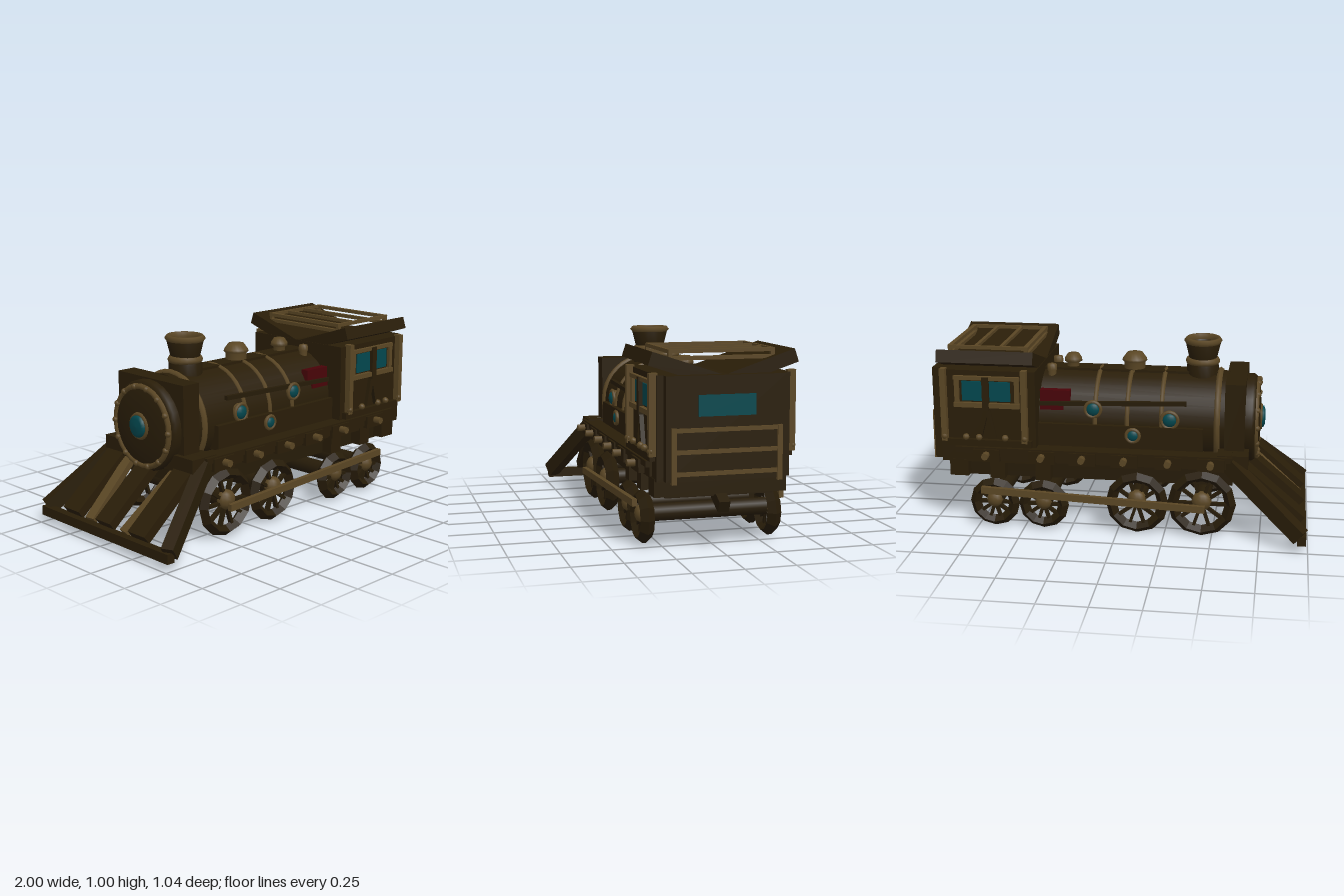
import * as THREE from 'three';

const mat = (name, color) => {
  const m = new THREE.MeshStandardMaterial({ color });
  m.name = name;
  return m;
};

export function createModel() {
  const root = new THREE.Group();
  root.name = 'steamLocomotive';
  const body = mat('dark bronze', 0x291d08), brass = mat('brass', 0x5a4624);
  const teal = mat('teal glass', 0x02474e), red = mat('red paint', 0x480308);
  const iron = mat('blackened iron', 0x261b08);
  for (const m of [body, iron]) m.side = THREE.DoubleSide;

  const add = (name, geo, m, x = 0, y = 0, z = 0, parent = root) => {
    const mesh = new THREE.Mesh(geo, m);
    mesh.name = name;
    mesh.position.set(x, y, z);
    parent.add(mesh);
    return mesh;
  };
  // box given by its extents
  const box = (name, m, x0, x1, y0, y1, z0, z1) =>
    add(name, new THREE.BoxGeometry(x1 - x0, y1 - y0, Math.abs(z1 - z0)), m, (x0 + x1) / 2, (y0 + y1) / 2, (z0 + z1) / 2);
  // square bar between two points
  const bar = (name, m, a, b, w, h) => {
    const p = new THREE.Vector3(...a), q = new THREE.Vector3(...b);
    const mesh = add(name, new THREE.BoxGeometry(w, h, p.distanceTo(q)), m);
    mesh.position.copy(p).add(q).multiplyScalar(0.5);
    mesh.lookAt(q);
    return mesh;
  };
  const lathe = (name, m, pts, x, y, z = 0, sides = 20) =>
    add(name, new THREE.LatheGeometry(pts.map(p => new THREE.Vector2(...p)), sides), m, x, y, z);

  // Boiler with bands and a flat strip along its top
  const BY = 0.57, BR = 0.245;
  add('boiler', new THREE.CylinderGeometry(BR, BR, 1.02, 28), body, -0.05, BY).rotation.z = Math.PI / 2;
  for (const [x, t] of [[-0.51, 0.018], [-0.22, 0.013], [-0.04, 0.013], [0.13, 0.013]])
    add('boilerBand', new THREE.TorusGeometry(BR, t, 6, 32), brass, x, BY).rotation.y = Math.PI / 2;
  box('boilerTopStrip', body, -0.5, 0.43, 0.79, 0.822, -0.055, 0.055);

  // Smokebox, round door, rivet ring and head lamp
  box('smokeboxShield', body, -0.655, -0.55, 0.43, 0.81, -0.25, 0.25);
  lathe('smokeboxDoor', body, [[0.235, 0], [0.235, 0.035], [0.225, 0.05], [0.18, 0.065], [0.1, 0.075], [0, 0.077]], -0.655, BY, 0, 28).rotation.z = Math.PI / 2;
  add('doorRing', new THREE.TorusGeometry(0.205, 0.016, 6, 28), brass, -0.71, BY).rotation.y = Math.PI / 2;
  for (let i = 0; i < 14; i++) {
    const a = i / 14 * Math.PI * 2;
    add('doorRivet', new THREE.SphereGeometry(0.017, 8, 6), brass, -0.717, BY + 0.205 * Math.sin(a), 0.205 * Math.cos(a));
  }
  add('lampRim', new THREE.TorusGeometry(0.06, 0.012, 6, 20), brass, -0.73, BY + 0.005).rotation.y = Math.PI / 2;
  lathe('headLamp', teal, [[0.058, 0], [0.057, 0.03], [0.04, 0.037], [0, 0.04]], -0.717, BY + 0.005).rotation.z = Math.PI / 2;

  // Chimney, open at the top
  lathe('chimney', body, [[0.085, 0.78], [0.085, 0.85], [0.072, 0.87], [0.075, 0.895], [0.093, 0.97], [0.075, 0.97], [0.06, 0.92], [0, 0.92]], -0.415, 0).scale.z = 1.08;
  lathe('chimneyCollar', brass, [[0.075, 0.855], [0.088, 0.862], [0.092, 0.875], [0.085, 0.89], [0.072, 0.895]], -0.415, 0);
  lathe('chimneyRim', brass, [[0.075, 0.965], [0.088, 0.965], [0.102, 0.984], [0.09, 1], [0.078, 1], [0.072, 0.98], [0.075, 0.965]], -0.415, 0).scale.z = 1.1;

  // Domes and whistles
  lathe('steamDome', brass, [[0.056, 0.79], [0.056, 0.855], [0.067, 0.865], [0.064, 0.875], [0.042, 0.906], [0, 0.91]], -0.05, 0);
  lathe('safetyValve', brass, [[0.034, 0.79], [0.032, 0.84], [0.048, 0.85], [0.046, 0.866], [0.03, 0.89], [0, 0.893]], 0.285, 0);
  for (const z of [-0.09, 0.09])
    lathe('whistle', brass, [[0.022, 0.74], [0.022, 0.81], [0.027, 0.82], [0.025, 0.848], [0, 0.855]], 0.385, 0, z, 12);

  // Chassis and beams
  box('chassis', iron, -0.6, 0.88, 0.27, 0.38, -0.27, 0.27);
  box('footplate', body, -0.62, 0.86, 0.375, 0.43, -0.34, 0.34);
  box('frontBeam', body, -0.68, -0.52, 0.37, 0.455, -0.34, 0.34);
  box('rearBeam', body, 0.8, 0.9, 0.28, 0.37, -0.33, 0.33);
  bar('rearCoupling', iron, [0.84, 0.28, 0], [0.95, 0.228, 0], 0.055, 0.06);

  // Cab shell, rear panel, window and ladder
  box('cab', body, 0.43, 0.94, 0.36, 0.86, -0.328, 0.328);
  box('cabRearPanel', body, 0.94, 0.986, 0.365, 0.86, -0.295, 0.295);
  box('rearWindow', teal, 0.986, 0.995, 0.67, 0.77, -0.14, 0.14);
  for (const y of [0.402, 0.505, 0.607]) box('rearLadderRung', brass, 0.982, 0.996, y - 0.01, y + 0.01, -0.26, 0.26);
  for (const z of [-0.26, 0.26]) box('rearLadderPost', brass, 0.98, 1, 0.355, 0.62, z - 0.012, z + 0.012);

  // Roof rack
  for (const y of [0.933, 0.966])
    for (const x of [0.49, 0.895]) box('rackEnd', brass, x - 0.012, x + 0.012, y - 0.009, y + 0.009, -0.26, 0.26);
  for (const x of [0.625, 0.76]) box('rackBar', brass, x - 0.009, x + 0.009, 0.957, 0.973, -0.26, 0.26);

  // Everything that is mirrored left and right
  for (const s of [1, -1]) {
    // roof wing, sloping down to the middle
    add('roofWing', new THREE.BoxGeometry(0.51, 0.066, 0.375), body, 0.688, 0.88, s * 0.181).rotation.x = -s * 0.32;
    box('rackSide', brass, 0.478, 0.907, 0.957, 0.975, s * 0.245, s * 0.262);
    for (const x of [0.49, 0.895]) box('rackPost', brass, x - 0.01, x + 0.01, 0.9, 0.966, s * 0.243, s * 0.262);

    // cab side: posts, sill, lintel and windows
    for (const x of [0.485, 0.915]) box('cabPost', brass, x - 0.015, x + 0.015, 0.48, 0.87, s * 0.32, s * 0.362);
    box('windowSill', brass, 0.51, 0.86, 0.665, 0.69, s * 0.32, s * 0.352);
    box('windowLintel', brass, 0.51, 0.86, 0.812, 0.832, s * 0.32, s * 0.348);
    for (const x of [0.525, 0.845]) box('windowJamb', brass, x - 0.012, x + 0.012, 0.69, 0.812, s * 0.32, s * 0.345);
    for (const x of [0.617, 0.763]) box('sideWindow', teal, x - 0.056, x + 0.056, 0.698, 0.803, s * 0.327, s * 0.335);
    box('windowDivider', body, 0.672, 0.707, 0.65, 0.83, s * 0.32, s * 0.355);
    bar('cabBraceFront', body, [0.68, 0.65, s * 0.335], [0.65, 0.5, s * 0.335], 0.03, 0.025);
    bar('cabBraceRear', body, [0.69, 0.65, s * 0.335], [0.73, 0.5, s * 0.335], 0.03, 0.025);
    box('cabSkirt', body, 0.45, 0.91, 0.455, 0.49, s * 0.32, s * 0.355);
    for (const x of [0.485, 0.59, 0.73, 0.8, 0.915])
      add('cabRivet', new THREE.SphereGeometry(0.018, 8, 6), brass, x, 0.505, s * 0.352);

    // running board with brackets, bolts and spring hangers
    box('runningBoard', body, -0.6, 0.86, 0.42, 0.45, s * 0.27, s * 0.36);
    box('sideValance', body, -0.58, 0.72, 0.385, 0.425, s * 0.33, s * 0.35);
    for (const x of [-0.49, -0.27, -0.04, 0.18, 0.395, 0.69]) {
      box('boardBracket', body, x - 0.07, x + 0.07, 0.375, 0.442, s * 0.335, s * 0.37);
      add('boardBolt', new THREE.CylinderGeometry(0.019, 0.019, 0.045, 8), brass, x, 0.415, s * 0.388).rotation.x = Math.PI / 2;
    }
    for (const x of [0.395, 0.64]) box('springHanger', body, x - 0.04, x + 0.04, 0.275, 0.38, s * 0.27, s * 0.335);

    // boiler side: skirt, pipe, portholes and red plate
    box('boilerSkirt', body, -0.44, 0.43, 0.44, 0.57, s * 0.2, s * 0.272);
    bar('sidePipe', iron, [-0.35, 0.695, s * 0.235], [0.43, 0.67, s * 0.235], 0.022, 0.022);
    for (const [x, y, r, z] of [[-0.265, 0.61, 0.043, 0.25], [-0.075, 0.525, 0.034, 0.275], [0.14, 0.65, 0.041, 0.24]]) {
      add('portholeTube', new THREE.CylinderGeometry(r, r, 0.08, 16), brass, x, y, s * (z - 0.035)).rotation.x = Math.PI / 2;
      add('portholeRim', new THREE.TorusGeometry(r, 0.01, 6, 18), brass, x, y, s * (z + 0.006));
      add('portholeGlass', new THREE.SphereGeometry(r * 0.88, 14, 8), teal, x, y, s * (z + 0.004)).scale.z = 0.6;
    }
    box('redPlate', red, 0.265, 0.425, 0.675, 0.742, s * 0.19, s * 0.232);
    box('redPlateFoot', red, 0.3, 0.425, 0.637, 0.675, s * 0.19, s * 0.24);

    // wheels: faceted rim, spokes and hub
    for (const [x, r, axleY] of [[-0.445, 0.18, 0.2], [-0.105, 0.167, 0.195], [0.395, 0.135, 0.156], [0.66, 0.135, 0.156]]) {
      const w = new THREE.Group();
      w.name = 'wheel';
      w.position.set(x, r + 0.005, s * 0.325);
      root.add(w);
      const rim = add('wheelRim', new THREE.TorusGeometry(r - 0.029, 0.029, 4, 12).toNonIndexed(), iron, 0, 0, 0, w);
      rim.geometry.computeVertexNormals();
      rim.scale.z = 1.24;
      for (let i = 0; i < 10; i++) {
        const a = i / 10 * Math.PI * 2, m = (r - 0.02) / 2;
        add('spoke', new THREE.BoxGeometry(r - 0.03, 0.016, 0.024), iron, m * Math.cos(a), m * Math.sin(a), 0, w).rotation.z = a;
      }
      add('hub', new THREE.SphereGeometry(0.02 + r * 0.18, 12, 8), brass, x, axleY, s * 0.33).scale.z = 0.8;
      if (s > 0) add('axle', new THREE.CylinderGeometry(0.044, 0.044, 0.62, 12), iron, x, axleY, 0).rotation.x = Math.PI / 2;
    }
    bar('couplingRod', brass, [-0.465, 0.17, s * 0.378], [0.72, 0.222, s * 0.378], 0.025, 0.036);

    // cowcatcher sides
    bar('catcherEdge', body, [-0.963, 0.088, s * 0.482], [-0.57, 0.418, s * 0.315], 0.065, 0.08);
    bar('catcherSlat', body, [-0.965, 0.112, s * 0.26], [-0.58, 0.437, s * 0.26], 0.125, 0.05);
    bar('catcherRod', brass, [-0.95, 0.098, s * 0.135], [-0.64, 0.36, s * 0.18], 0.055, 0.035);
  }

  // Cowcatcher middle and foot
  bar('catcherMiddleSlat', body, [-0.965, 0.112, 0], [-0.58, 0.437, 0], 0.115, 0.05);
  box('catcherFoot', body, -0.99, -0.945, 0.045, 0.095, -0.5, 0.5);
  return root;
}
